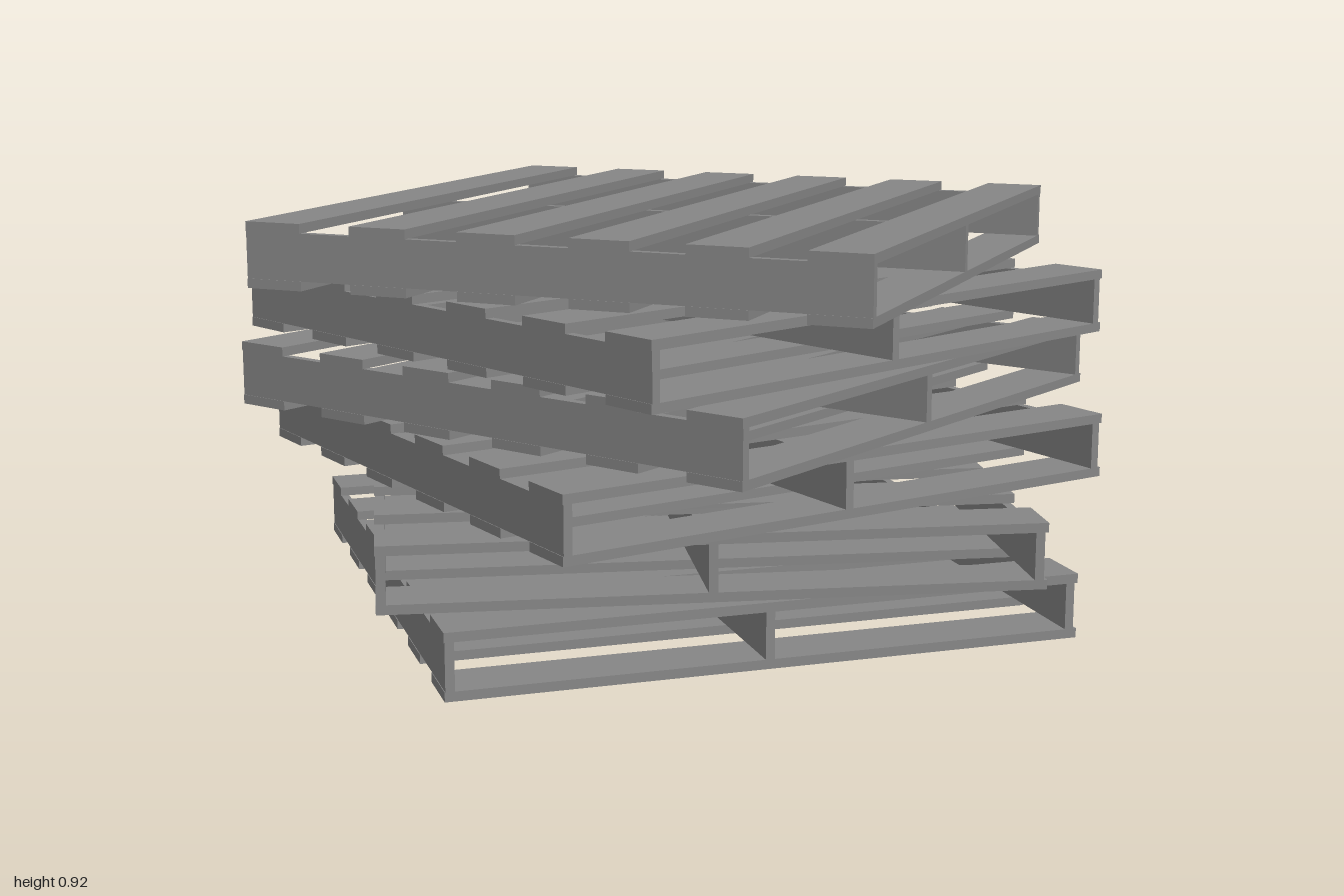
import * as THREE from 'three';

const SIDE = 1.419;      // square pallet side
const HEIGHT = 0.146;    // one pallet
const PITCH = 0.154;     // vertical distance between pallets
const SLAT_T = 0.021;    // slat thickness
const SLAT_W = 0.135;    // slat width
const STRINGER_T = 0.02; // stringer thickness
const SLATS = 6;

const material = new THREE.MeshStandardMaterial({ color: 0x868686 });

function addBox(parent, name, size, position) {
  const mesh = new THREE.Mesh(new THREE.BoxGeometry(...size), material);
  mesh.name = name;
  mesh.position.set(...position);
  parent.add(mesh);
}

function createPallet() {
  const pallet = new THREE.Group();

  // Three upright stringers running front to back
  for (const x of [-0.698, -0.01, 0.692]) {
    addBox(pallet, 'stringer', [STRINGER_T, HEIGHT - 2 * SLAT_T, SIDE], [x, HEIGHT / 2, 0]);
  }

  // Evenly spaced slats on the bottom and top
  const step = (SIDE - SLAT_W) / (SLATS - 1);
  for (let i = 0; i < SLATS; i++) {
    const z = -SIDE / 2 + SLAT_W / 2 + i * step;
    addBox(pallet, 'bottomSlat', [SIDE, SLAT_T, SLAT_W], [0, SLAT_T / 2, z]);
    addBox(pallet, 'topSlat', [SIDE, SLAT_T, SLAT_W], [0, HEIGHT - SLAT_T / 2, z]);
  }
  return pallet;
}

export function createModel() {
  const stack = new THREE.Group();
  stack.name = 'palletStack';

  // Each pallet is turned by its own angle, from the ground up
  [0, -10, 15, 35, 25, 50].forEach((degrees, i) => {
    const pallet = createPallet();
    pallet.name = `pallet${i + 1}`;
    pallet.position.y = i * PITCH;
    pallet.rotation.y = THREE.MathUtils.degToRad(degrees);
    stack.add(pallet);
  });
  return stack;
}
